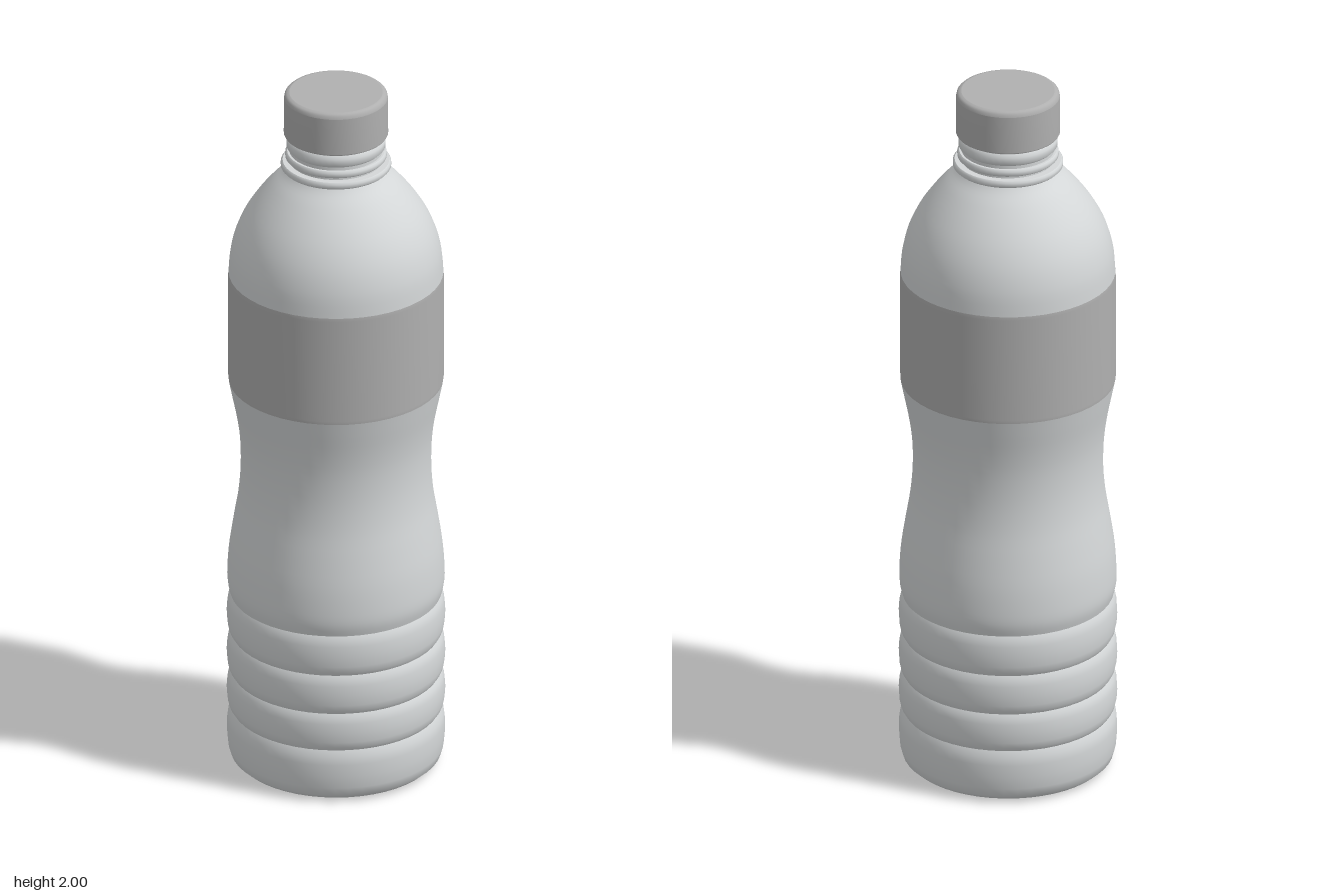
import * as THREE from 'three';

const SIDES = 48;

export function createModel() {
  const group = new THREE.Group();
  const mat = (name, color) => {
    const m = new THREE.MeshStandardMaterial({ color, side: THREE.DoubleSide });
    m.name = name;
    return m;
  };
  const plastic = mat('pale plastic', 0xd4d7d8);
  const labelGrey = mat('label grey', 0xb0b0b0);
  const capGrey = mat('cap grey', 0xb0b0b0);

  // Turn a profile of [radius, height] pairs; curved profiles pass through a spline
  const turn = (name, material, profile, steps = 0) => {
    let pts = profile.map(([r, y]) => new THREE.Vector2(r, y));
    if (steps) pts = new THREE.SplineCurve(pts).getPoints(steps);
    const mesh = new THREE.Mesh(new THREE.LatheGeometry(pts, SIDES), material);
    mesh.name = name;
    group.add(mesh);
  };

  // Base with a rounded foot, up to the first groove
  turn('base', plastic, [
    [0, 0.006], [0.2, 0.003], [0.245, 0], [0.268, 0.006], [0.284, 0.02], [0.291, 0.045],
    [0.294, 0.08], [0.294, 0.115], [0.291, 0.138], [0.282, 0.155],
  ]);

  // Bulging ribs between the grooves
  const grooves = [0.155, 0.265, 0.38, 0.5];
  for (let i = 0; i < 3; i++) {
    const a = grooves[i], h = grooves[i + 1] - a;
    turn('rib' + (i + 1), plastic, [
      [0.282, a], [0.289, a + h * 0.1], [0.293, a + h * 0.25], [0.295, a + h * 0.5],
      [0.293, a + h * 0.75], [0.289, a + h * 0.9], [0.282, a + h],
    ]);
  }

  // Pinched waist
  turn('waist', plastic, [
    [0.285, 0.5], [0.292, 0.53], [0.293, 0.57], [0.288, 0.64], [0.276, 0.72],
    [0.263, 0.8], [0.257, 0.88], [0.259, 0.96], [0.268, 1.03], [0.282, 1.1], [0.29, 1.14],
  ], 32);

  turn('label', labelGrey, [[0.29, 1.14], [0.291, 1.15], [0.291, 1.45], [0.29, 1.46]]);

  // Domed shoulder
  turn('shoulder', plastic, [
    [0.29, 1.46], [0.285, 1.52], [0.27, 1.58], [0.245, 1.635], [0.212, 1.685],
    [0.175, 1.73], [0.145, 1.76], [0.132, 1.776],
  ], 24);

  // Neck and its raised rings
  const ring = (name, r, y0, y1) => {
    const b = (y1 - y0) * 0.25;
    turn(name, plastic, [[0.12, y0], [r - b, y0]]);
    turn(name + 'Edge', plastic, [[r - b, y0], [r, y0 + b], [r, y1 - b], [r - b, y1]]);
    turn(name + 'Top', plastic, [[r - b, y1], [0.12, y1]]);
  };
  turn('neck', plastic, [[0.132, 1.77], [0.126, 1.78], [0.126, 1.88]]);
  ring('supportRing', 0.149, 1.777, 1.797);
  ring('neckBead', 0.137, 1.805, 1.825);
  ring('tamperBand', 0.134, 1.833, 1.87);

  // Screw cap with softened top edge
  turn('capUnderside', capGrey, [[0.12, 1.876], [0.139, 1.876]]);
  turn('capSide', capGrey, [[0.139, 1.876], [0.141, 1.88], [0.14, 1.985]]);
  turn('capEdge', capGrey, [[0.14, 1.985], [0.138, 1.993], [0.133, 1.998], [0.126, 2]]);
  turn('capTop', capGrey, [[0.126, 2], [0, 2]]);

  return group;
}
